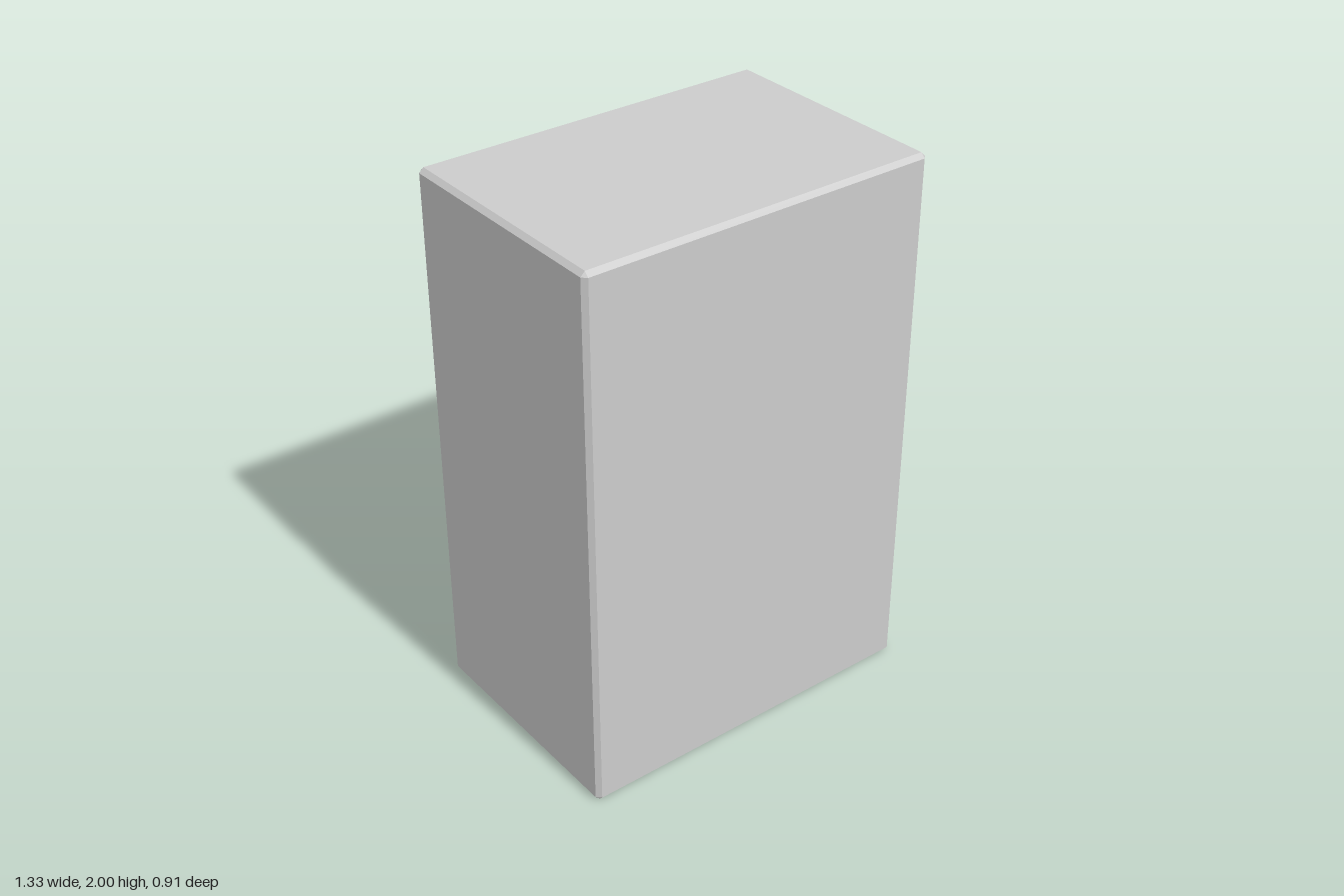
import * as THREE from 'three';

const W = 0.665, H = 1, C = 0.016;   // half width, half height, chamfer
const FACE = 0.438, REAR = 0.455;    // control face and plain face depths
const mat = new THREE.MeshStandardMaterial({ color: 0xcccccc, flatShading: true });

// rectangles as [x0, y0, x1, y1]
const inset = ([x0, y0, x1, y1], d) => [x0 + d, y0 + d, x1 - d, y1 - d];
const trace = (path, [x0, y0, x1, y1]) =>
  path.moveTo(x0, y0).lineTo(x1, y0).lineTo(x1, y1).lineTo(x0, y1).closePath();
function rectShape(rect, holes = []) {
  const shape = new THREE.Shape();
  trace(shape, rect);
  for (const h of holes) {
    const p = new THREE.Path();
    trace(p, h);
    shape.holes.push(p);
  }
  return shape;
}

function flatGeometry(points, index) {
  const g = new THREE.BufferGeometry();
  g.setAttribute('position', new THREE.Float32BufferAttribute(points.flat(), 3));
  g.setIndex(index);
  const flat = g.toNonIndexed();
  flat.computeVertexNormals();
  return flat;
}

// chamfered cabinet sides as four 8-point rings, plus the plain rear cap
function shellGeometry() {
  const ring = (z, end) => {
    const a = W - C, b = H - C, w = end ? a : W, h = end ? b : H;
    return [[w, -b], [w, b], [a, h], [-a, h], [-w, b], [-w, -b], [-a, -h], [a, -h]]
      .map(([x, y]) => [x, y + H, z]);
  };
  const points = [ring(-REAR, true), ring(-REAR + C, false), ring(FACE - C, false), ring(FACE, true)].flat();
  const index = [];
  for (let r = 0; r < 3; r++) {
    for (let i = 0; i < 8; i++) {
      const a = r * 8 + i, b = r * 8 + (i + 1) % 8;
      index.push(a, b, b + 8, a, b + 8, a + 8);
    }
  }
  index.push(0, 4, 1, 0, 6, 4);
  return flatGeometry(points, index);
}

// wedge-shaped hollow: flush at the top, deepest at its floor
function hollowGeometry([x0, y0, x1, y1], depth) {
  const back = FACE - depth;
  return flatGeometry(
    [[x0, y1, FACE], [x1, y1, FACE], [x0, y0, back], [x1, y0, back], [x0, y0, FACE], [x1, y0, FACE]],
    [0, 2, 1, 1, 2, 3, 2, 4, 3, 3, 4, 5, 0, 4, 2, 1, 3, 5]);
}

export function createModel() {
  const model = new THREE.Group();
  model.name = 'vendingMachine';
  const cabinet = new THREE.Group();   // built with its control face on +z
  cabinet.name = 'cabinet';
  cabinet.rotation.y = Math.PI;        // then turned to the back
  model.add(cabinet);

  const add = (name, geometry, z = 0) => {
    const m = new THREE.Mesh(geometry, mat);
    m.name = name;
    m.position.z = z;
    cabinet.add(m);
    return m;
  };
  const slab = (name, rect, top, holes) =>
    add(name, new THREE.ExtrudeGeometry(rectShape(rect, holes), { depth: top - FACE, bevelEnabled: false }), FACE);

  const tray = [-0.54, 0.4, 0.54, 0.8], trayHole = inset(tray, 0.025);
  const slot = [-0.395, 0.84, 0.185, 1.07], slotHole = inset(slot, 0.014);

  // body
  add('shell', shellGeometry());
  add('controlFace', new THREE.ShapeGeometry(
    rectShape([-W + C, C, W - C, 2 * H - C], [trayHole, slotHole])), FACE);

  // raised display panel
  slab('displayPanel', [-0.523, 1.12, 0.523, 1.868], 0.453);

  // framed hollows
  slab('trayFrame', tray, 0.447, [trayHole]);
  add('trayHollow', hollowGeometry(trayHole, 0.05));
  slab('slotFrame', slot, 0.456, [slotHole]);
  add('slotHollow', hollowGeometry(slotHole, 0.035));

  // coin unit: open frame above a lower plate
  const coin = [0.335, 0.94, 0.5, 1.065];
  slab('coinFrame', coin, 0.456, [inset(coin, 0.014)]);
  slab('coinPlate', [0.335, 0.828, 0.5, 0.94], 0.45);

  return model;
}
